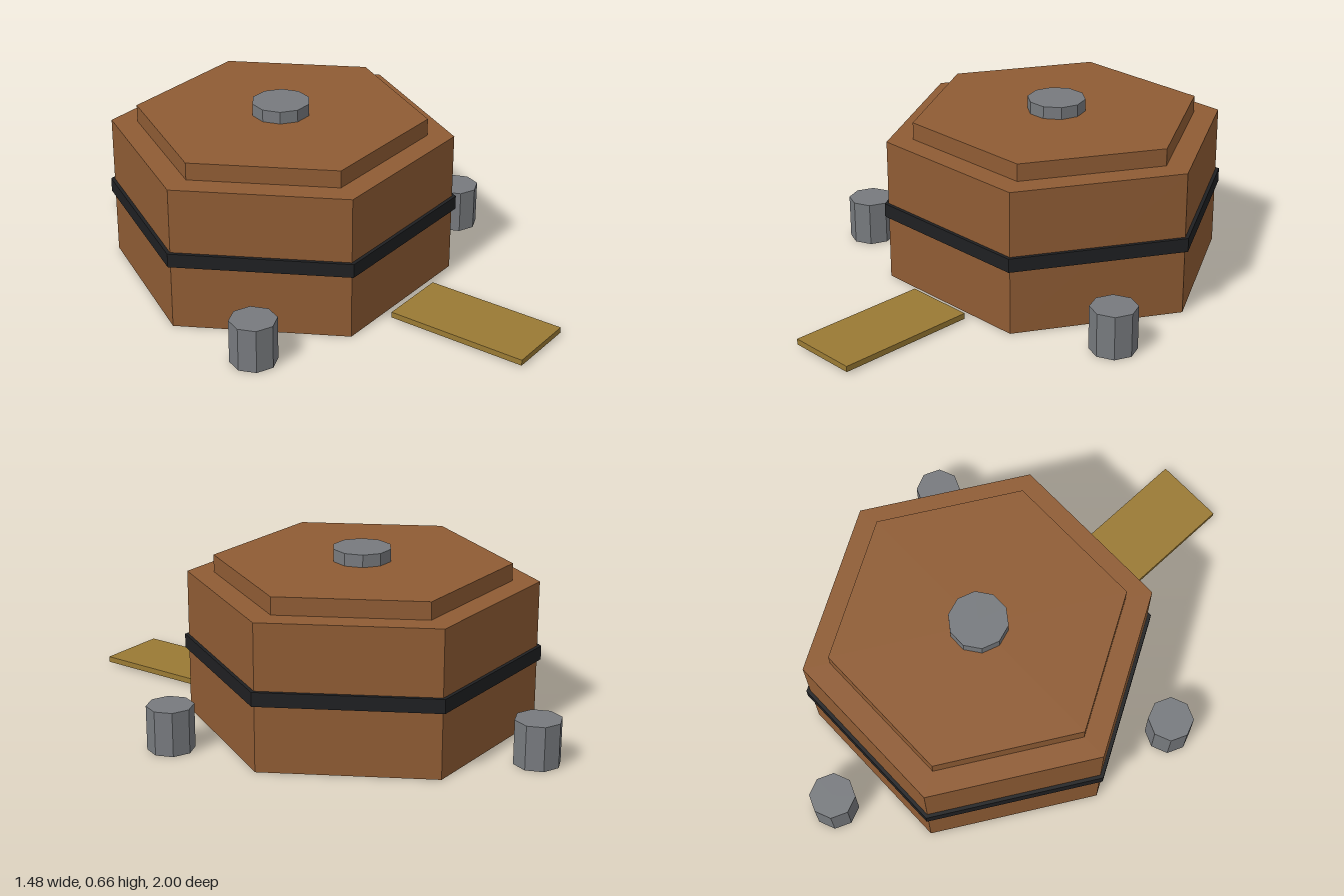
import * as THREE from 'three';

export function createModel() {
  const model = new THREE.Group();
  const material = (name, color) => {
    const m = new THREE.MeshStandardMaterial({ color, flatShading: true });
    m.name = name;
    return m;
  };
  const brown = material('brown wood', 0x8f5c34);
  const black = material('black band', 0x1f2022);
  const grey = material('grey metal', 0x777a7e);
  const gold = material('ochre plank', 0x9a7a34);

  const centreZ = -0.157; // centre of the hexagonal building

  // Upright prism with corners on the x axis, from y0 to y1
  function prism(name, mat, sides, radius, y0, y1, x = 0, z = centreZ) {
    const geo = new THREE.CylinderGeometry(radius, radius, y1 - y0, sides);
    geo.rotateY(Math.PI / 2);
    const mesh = new THREE.Mesh(geo, mat);
    mesh.name = name;
    mesh.position.set(x, (y0 + y1) / 2, z);
    model.add(mesh);
  }

  // Hexagonal body, band, stepped roof and round cap
  prism('body', brown, 6, 0.65, 0, 0.551);
  prism('band', black, 6, 0.665, 0.25, 0.303);
  prism('roof', brown, 6, 0.55, 0.551, 0.617);
  prism('cap', grey, 10, 0.11, 0.617, 0.664);

  // Three free-standing posts around the body
  for (let i = 0; i < 3; i++) {
    const a = -Math.PI / 2 + (i * Math.PI * 2) / 3;
    prism('post' + (i + 1), grey, 8, 0.087, 0, 0.167,
      0.756 * Math.cos(a), centreZ + 0.756 * Math.sin(a));
  }

  // Flat plank in front
  const plank = new THREE.Mesh(new THREE.BoxGeometry(0.274, 0.022, 0.548), gold);
  plank.name = 'plank';
  plank.position.set(0, 0.018, 0.726);
  model.add(plank);

  return model;
}
